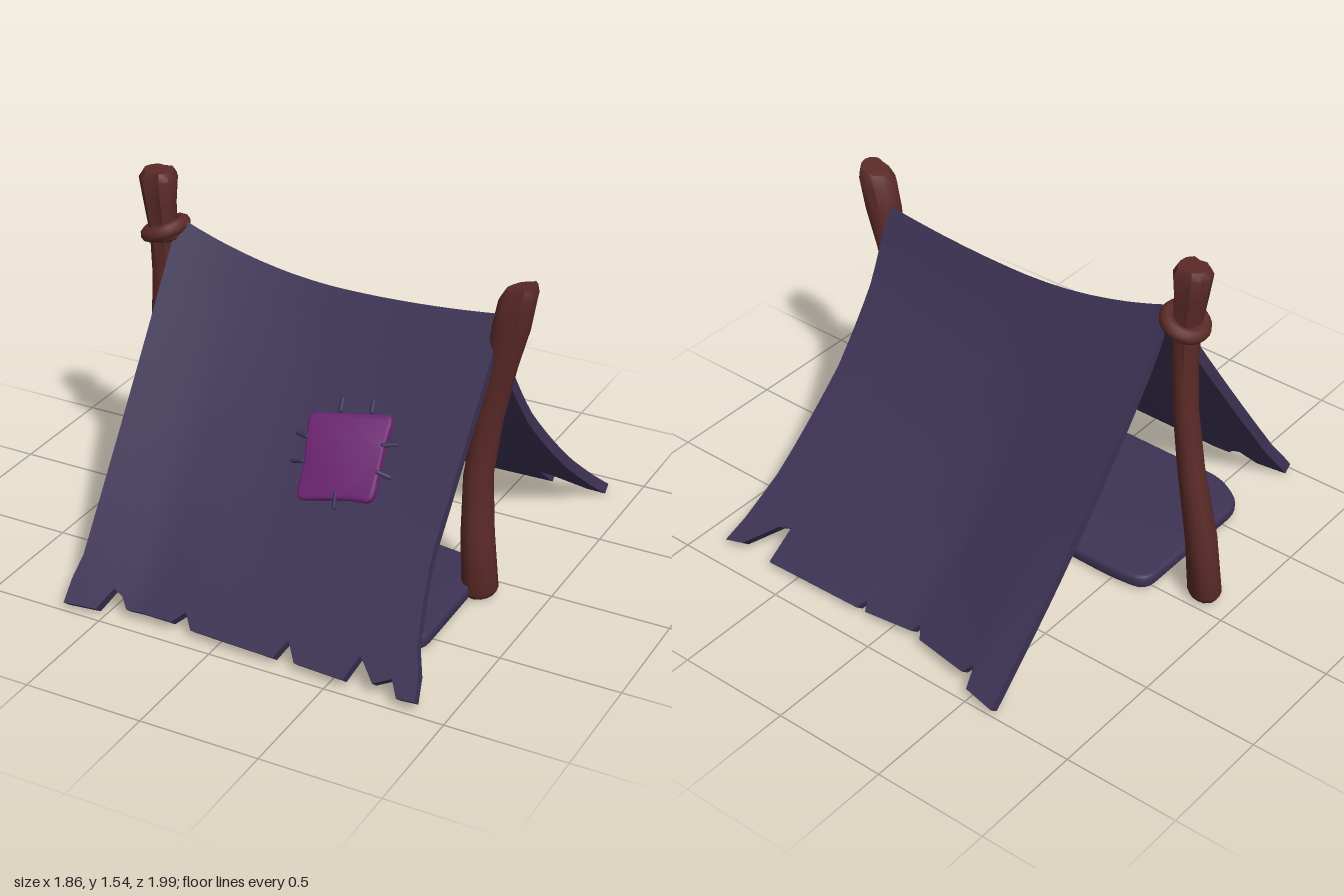
import * as THREE from 'three';
import { toCreasedNormals } from 'three/addons/utils/BufferGeometryUtils.js';

const lerp = THREE.MathUtils.lerp;

// piecewise-linear lookup in [[t, value], ...]
function lookup(table, t) {
  for (let i = 1; i < table.length; i++) {
    const [a, va] = table[i - 1], [b, vb] = table[i];
    if (t <= b) return lerp(va, vb, (t - a) / (b - a));
  }
  return table[table.length - 1][1];
}

// solid through closed cross-sections, each wound counter-clockwise about the path
function loft(sections, crease) {
  const n = sections[0].length, pos = [], idx = [];
  sections.forEach(s => s.forEach(p => pos.push(...p)));
  for (let i = 0; i < sections.length - 1; i++) {
    for (let k = 0; k < n; k++) {
      const a = i * n + k, a2 = i * n + (k + 1) % n;
      idx.push(a, a2, a + n, a2, a2 + n, a + n);
    }
  }
  const last = (sections.length - 1) * n;
  for (let k = 0; k < n / 2 - 1; k++) {
    const p = k, q = k + 1, r = n - 2 - k, s = n - 1 - k;
    idx.push(p, r, q, p, s, r);
    idx.push(last + p, last + q, last + r, last + p, last + r, last + s);
  }
  const g = new THREE.BufferGeometry();
  g.setAttribute('position', new THREE.Float32BufferAttribute(pos, 3));
  g.setIndex(idx);
  return toCreasedNormals(g, crease);
}

// sagging ridge line and the two slopes of the cloth
const RIDGE_Z = 0.07, HEM_Y = 0.05;
const ridgeY = x => 1.205 + (x < 0.12 ? 0.265 : 0.103) * (x - 0.12) ** 2;
const slopes = {
  front: {
    left: [[0, -0.62], [0.06, -0.65], [0.9, -0.645], [0.95, -0.67], [1, -0.67]],
    right: [[0, 0.78], [0.4, 0.768], [0.65, 0.765], [0.85, 0.81], [0.93, 0.86], [1, 0.875]],
    hemZ: [[0, 0.99], [0.2, 0.95], [0.6, 0.96], [1, 1.0]],
    sag: [[0, 0.01], [0.5, 0.03], [1, 0.03]],
    hem: [[0, 0], [0.09, 0], [0.12, 0.06], [0.15, 0.045], [0.17, 0.015], [0.3, 0.015], [0.335, 0.05],
      [0.36, 0.01], [0.6, 0.005], [0.63, 0.06], [0.66, 0.01], [0.8, 0.01], [0.835, 0.08], [0.88, 0.025],
      [0.93, 0.05], [0.95, 0.01], [1, 0.015]],
  },
  back: {
    left: [[0, -0.62], [0.06, -0.65], [0.7, -0.64], [1, -0.63]],
    right: [[0, 0.78], [0.25, 0.755], [0.5, 0.76], [0.8, 0.8], [0.93, 0.84], [1, 0.875]],
    hemZ: [[0, -1.0], [0.1, -0.99], [0.35, -0.87], [0.8, -0.89], [1, -0.9]],
    sag: [[0, 0.06], [0.5, 0.11], [1, 0.12]],
    hem: [[0, 0], [0.095, 0.01], [0.11, 0.06], [0.135, 0.03], [0.31, 0.01], [0.335, 0.035], [0.35, 0.01],
      [0.5, 0.0], [0.515, 0.025], [0.53, 0.0], [0.84, 0.0], [0.855, 0.09], [0.89, 0.08], [0.95, 0.01], [1, 0]],
  },
};

function slopePoint(s, t, v) {
  const x = lerp(lookup(s.left, v), lookup(s.right, v), t);
  const hemZ = lookup(s.hemZ, t), sag = lookup(s.sag, t) * 4 * v * (1 - v);
  return [x, lerp(ridgeY(x), HEM_Y, v), lerp(RIDGE_Z, hemZ, v) - Math.sign(hemZ) * sag];
}

// thick cloth panel with a torn hem
function clothPanel(s, dir) {
  const cols = [];
  s.hem.forEach(([t], i) => {
    if (i) {
      const t0 = s.hem[i - 1][0], steps = Math.ceil((t - t0) / 0.06);
      for (let k = 1; k < steps; k++) cols.push(lerp(t0, t, k / steps));
    }
    cols.push(t);
  });
  if (dir < 0) cols.reverse();
  const rows = 16;
  const sections = cols.map(t => {
    const vMax = 1 - lookup(s.hem, t), outer = [], inner = [];
    for (let j = 0; j <= rows; j++) {
      const v = vMax * j / rows, [x, y, z] = slopePoint(s, t, v);
      const f = Math.min(1, v * 6);
      outer.push([x, y, z]);
      inner.unshift([x, y - lerp(0.05, 0.03, f), z - dir * 0.035 * f]);
    }
    return [...outer, ...inner];
  });
  return loft(sections, 0.7);
}

// place a flat point (x, y) on the front slope, lifted by h
function onFront(x, y, h) {
  const s = slopes.front, v = (ridgeY(x) - y) / (ridgeY(x) - HEM_Y);
  const z = slopePoint(s, (x + 0.65) / 1.42, v)[2];
  return new THREE.Vector3(x, y + h * 0.6, z + h * 0.8);
}

// closed shape through corners with rounded turns
function roundedShape(corners, r) {
  const pts = corners.map(c => new THREE.Vector2(...c)), n = pts.length, shape = new THREE.Shape();
  pts.forEach((p, i) => {
    const prev = pts[(i + n - 1) % n], next = pts[(i + 1) % n];
    const a = p.clone().add(prev.clone().sub(p).setLength(r));
    const b = p.clone().add(next.clone().sub(p).setLength(r));
    if (i) shape.lineTo(a.x, a.y); else shape.moveTo(a.x, a.y);
    shape.quadraticCurveTo(p.x, p.y, b.x, b.y);
  });
  shape.closePath();
  return shape;
}

// knobbly branch; rings are [x, y, z, radius, cleft depth]
function branch(rings, tilt) {
  const sides = 12;
  const sections = rings.map(([x, y, z, r, cleft], i) => Array.from({ length: sides }, (_, k) => {
    const a = k / sides * Math.PI * 2;
    const rr = r * (1 + 0.05 * Math.sin(3 * a + i * 0.5)) * (k === 3 || k === 9 ? 1 - cleft : 1);
    const slant = i >= rings.length - 2 ? tilt * Math.cos(a) * r : 0;
    return [x + Math.cos(a) * rr, y + slant, z - Math.sin(a) * rr];
  }));
  return loft(sections, 0.75);
}

export function createModel() {
  const group = new THREE.Group();
  const cloth = new THREE.MeshStandardMaterial({ color: 0x3d3355 });
  const wood = new THREE.MeshStandardMaterial({ color: 0x5a2a27 });
  const patchMat = new THREE.MeshStandardMaterial({ color: 0x6b2470 });
  cloth.name = 'dark violet cloth';
  wood.name = 'red brown wood';
  patchMat.name = 'purple patch';
  const add = (name, geo, mat, parent = group) => {
    const m = new THREE.Mesh(geo, mat);
    m.name = name;
    parent.add(m);
    return m;
  };

  // cloth roof
  add('frontCloth', clothPanel(slopes.front, 1), cloth);
  add('backCloth', clothPanel(slopes.back, -1), cloth);

  // poles
  add('rightPole', branch([
    [-0.865, 0.03, 0.08, 0.055, 0], [-0.865, 0.055, 0.08, 0.07, 0], [-0.835, 0.3, 0.08, 0.066, 0],
    [-0.765, 0.62, 0.085, 0.056, 0], [-0.72, 0.9, 0.09, 0.052, 0], [-0.707, 1.1, 0.09, 0.052, 0.05],
    [-0.707, 1.28, 0.09, 0.056, 0.15], [-0.72, 1.42, 0.09, 0.066, 0.22], [-0.725, 1.53, 0.09, 0.078, 0.25],
    [-0.725, 1.56, 0.09, 0.06, 0.25]], 0), wood);
  add('leftPole', branch([
    [0.735, 0.03, 0.12, 0.06, 0], [0.735, 0.055, 0.12, 0.075, 0], [0.715, 0.3, 0.11, 0.068, 0],
    [0.708, 0.55, 0.1, 0.06, 0], [0.74, 0.8, 0.09, 0.058, 0], [0.79, 1.05, 0.09, 0.062, 0],
    [0.825, 1.22, 0.09, 0.075, 0.08], [0.85, 1.35, 0.09, 0.077, 0.15], [0.86, 1.39, 0.09, 0.06, 0.15]], 0.25), wood);

  // rope knot around the taller pole
  const knot = new THREE.Group();
  knot.name = 'ropeKnot';
  knot.position.set(-0.708, 1.305, 0.08);
  group.add(knot);
  [[0.38, 0, 0.075, 0.031], [0.1, -0.015, 0.06, 0.025]].forEach(([tilt, y, r, tube]) => {
    const coil = add('ropeCoil', new THREE.TorusGeometry(r, tube, 10, 24).rotateX(Math.PI / 2), wood, knot);
    coil.rotation.z = tilt;
    coil.position.y = y;
  });

  // ground mat
  const matShape = roundedShape([[-0.67, 0.06], [-0.5, 0.08], [0.45, 0.06], [0.72, 0.02],
    [0.73, -0.62], [0.5, -0.7], [-0.52, -0.69], [-0.67, -0.6]], 0.07);
  const matGeo = new THREE.ExtrudeGeometry(matShape, {
    depth: 0.03, bevelThickness: 0.015, bevelSize: 0.015, bevelOffset: -0.015, bevelSegments: 2, curveSegments: 4,
  });
  matGeo.rotateX(-Math.PI / 2).translate(0, 0.045, 0);
  add('groundMat', toCreasedNormals(matGeo, 0.8), cloth);

  // sewn patch following the front slope
  const patchGeo = new THREE.ExtrudeGeometry(roundedShape(
    [[0.1, 0.805], [0.2, 0.82], [0.46, 0.865], [0.455, 0.76], [0.475, 0.585], [0.36, 0.575], [0.15, 0.53], [0.145, 0.64]], 0.04), {
    depth: 0.02, bevelThickness: 0.01, bevelSize: 0.012, bevelOffset: -0.012, bevelSegments: 2, curveSegments: 4,
  });
  const p = patchGeo.attributes.position;
  for (let i = 0; i < p.count; i++) {
    const q = onFront(p.getX(i), p.getY(i) - 0.01, p.getZ(i) - 0.004);
    p.setXYZ(i, q.x, q.y, q.z);
  }
  add('patch', toCreasedNormals(patchGeo, 0.8), patchMat);

  // stitches: centre and outward direction
  [[0.23, 0.835, -0.3, 1], [0.36, 0.855, -0.3, 1], [0.11, 0.72, -1, 0.1], [0.12, 0.64, -1, -0.15],
    [0.465, 0.76, 1, 0.3], [0.475, 0.67, 1, -0.1], [0.315, 0.56, 0.1, -1]].forEach(([x, y, dx, dy]) => {
    const curve = new THREE.LineCurve3(onFront(x - dx * 0.02, y - dy * 0.02, 0.025), onFront(x + dx * 0.035, y + dy * 0.035, 0.006));
    const stitch = add('stitch', new THREE.CapsuleGeometry(0.009, 0.05, 3, 8), cloth);
    stitch.position.copy(curve.getPoint(0.5));
    stitch.quaternion.setFromUnitVectors(new THREE.Vector3(0, 1, 0), curve.getTangent(0.5));
  });
  return group;
}
